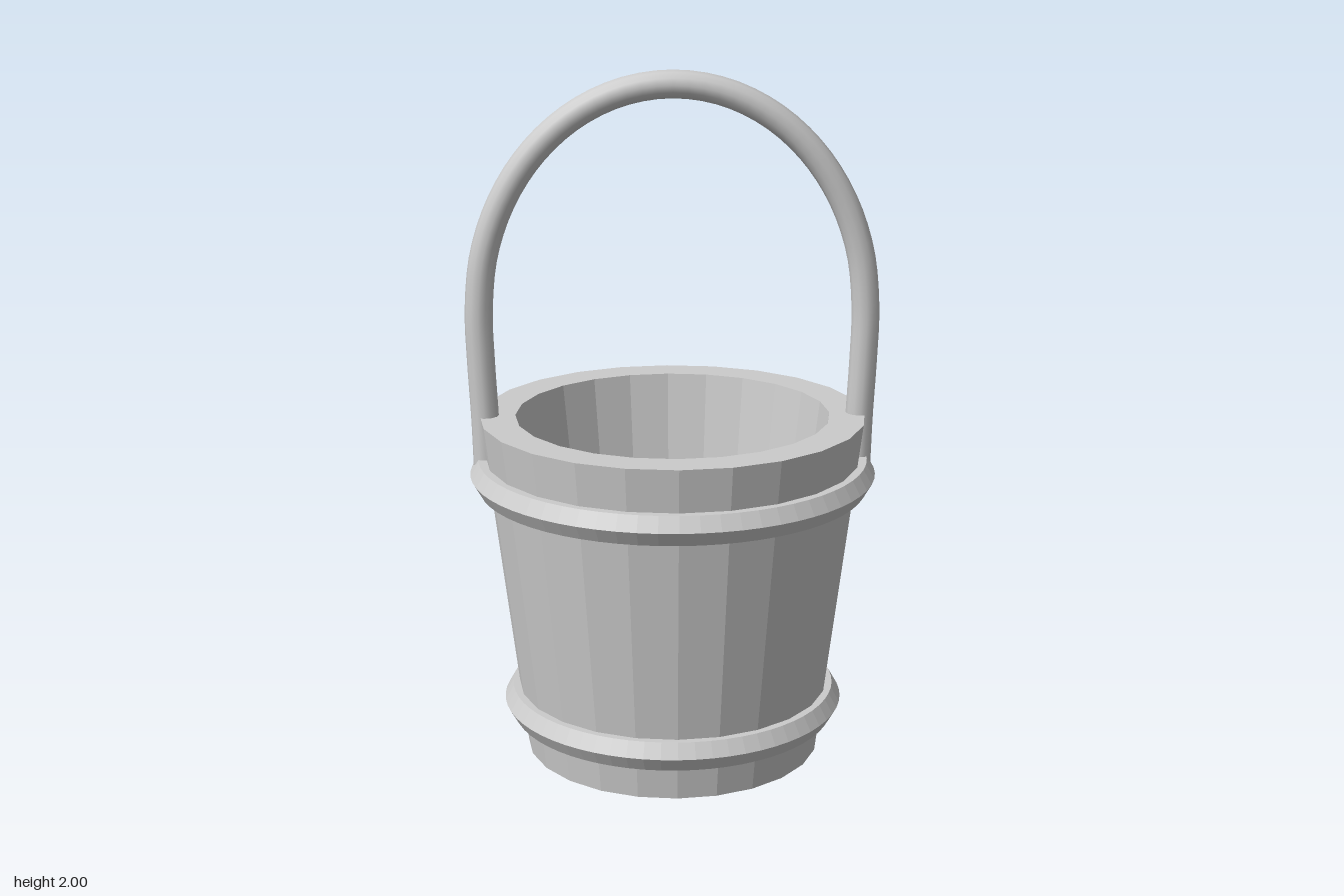
import * as THREE from 'three';

export function createModel() {
  const model = new THREE.Group();
  const faceted = new THREE.MeshStandardMaterial({ color: 0xcccccc, flatShading: true });
  faceted.name = 'grey';
  // Same grey with smooth normals, for the round handle
  const smooth = new THREE.MeshStandardMaterial({ color: 0xcccccc });
  smooth.name = 'smooth grey';

  const add = (name, geometry, material) => {
    const mesh = new THREE.Mesh(geometry, material);
    mesh.name = name;
    model.add(mesh);
    return mesh;
  };

  // Tapered body of 24 staves: base, outer wall, rim, inner wall, floor
  const profile = [[0, 0], [0.432, 0], [0.557, 1.01], [0.454, 1.01], [0.327, 0.02], [0, 0.02]]
    .map(([r, y]) => new THREE.Vector2(r, y));
  add('bucketBody', new THREE.LatheGeometry(profile, 24), faceted);

  // Hoops with a hexagonal section
  for (const [name, radius, y] of [['upperHoop', 0.538, 0.842], ['lowerHoop', 0.45, 0.148]]) {
    const hoop = add(name, new THREE.TorusGeometry(radius, 0.049, 6, 64), faceted);
    hoop.rotation.x = Math.PI / 2;
    hoop.position.y = y;
  }

  // Handle: nearly straight legs set into the upper hoop, joined by an elliptical arch
  const points = [[0.537, 0.85], [0.541, 1.0], [0.549, 1.17]];
  const steps = 12;
  for (let i = 0; i <= steps; i++) {
    const a = (i / steps) * Math.PI;
    points.push([0.552 * Math.cos(a), 1.32 + 0.64 * Math.sin(a)]);
  }
  points.push([-0.549, 1.17], [-0.541, 1.0], [-0.537, 0.85]);
  const path = new THREE.CatmullRomCurve3(points.map(([x, y]) => new THREE.Vector3(x, y, 0)));
  add('handle', new THREE.TubeGeometry(path, 64, 0.04, 12), smooth);

  return model;
}
